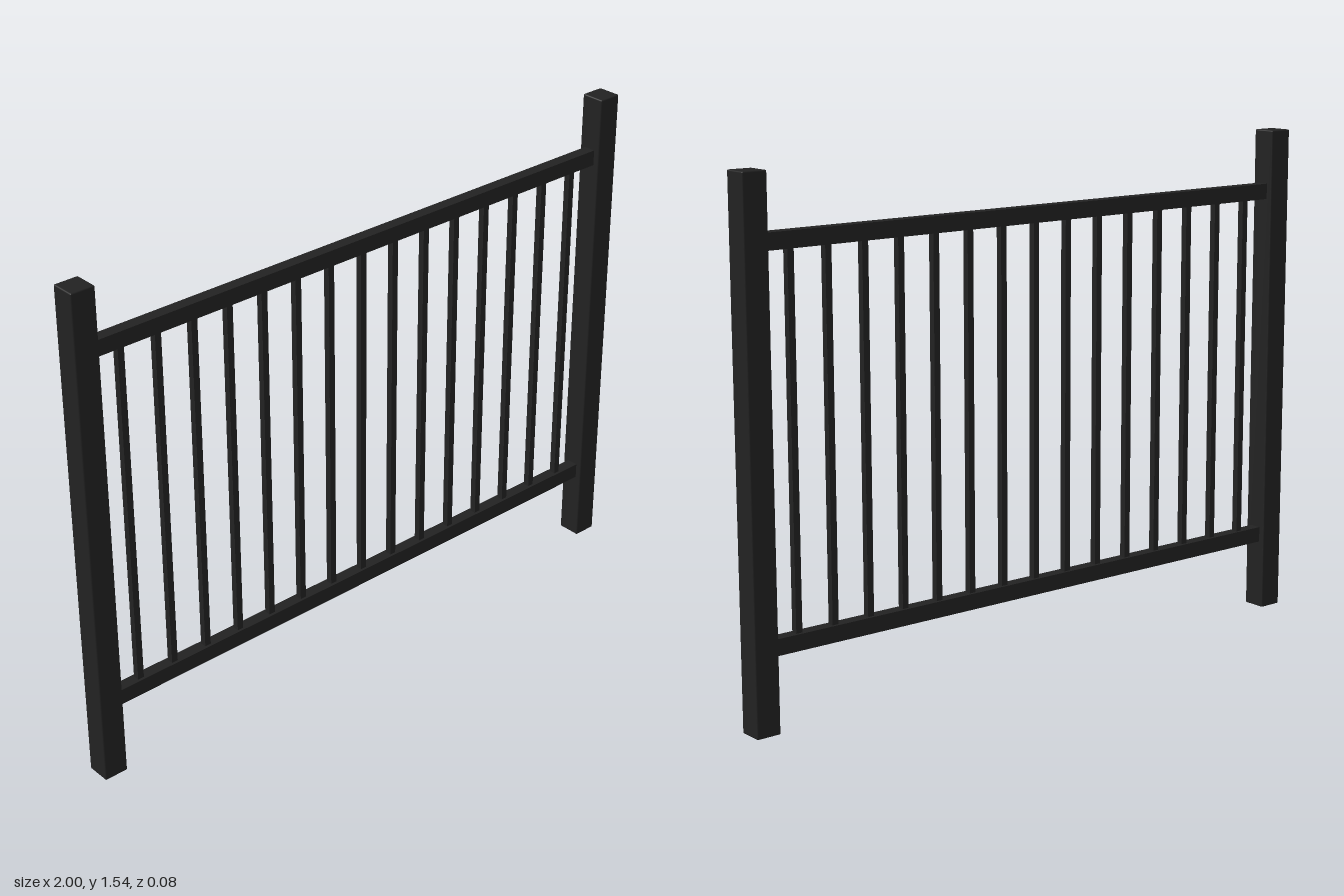
import * as THREE from 'three';
import { RoundedBoxGeometry } from 'three/addons/geometries/RoundedBoxGeometry.js';

export function createModel() {
  const group = new THREE.Group();
  const material = new THREE.MeshStandardMaterial({ color: 0x222222 });

  const add = (name, geometry, x, y) => {
    const mesh = new THREE.Mesh(geometry, material);
    mesh.name = name;
    mesh.position.set(x, y, 0);
    group.add(mesh);
  };

  const postWidth = 0.075, postHeight = 1.54;
  const railHeight = 0.048, bottomRailY = 0.241, topRailY = 1.35;

  // Square end posts with slightly eased edges
  const post = new RoundedBoxGeometry(postWidth, postHeight, postWidth, 2, 0.004);
  add('leftPost', post, 1 - postWidth / 2, postHeight / 2);
  add('rightPost', post, -1 + postWidth / 2, postHeight / 2);

  // Horizontal rails running between the posts
  const rail = new THREE.BoxGeometry(2 - 2 * postWidth, railHeight, 0.037);
  add('topRail', rail, 0, topRailY);
  add('bottomRail', rail, 0, bottomRailY);

  // Evenly spaced square balusters
  const count = 15, spacing = 0.12;
  const baluster = new THREE.BoxGeometry(0.02, topRailY - bottomRailY - railHeight, 0.02);
  for (let i = 0; i < count; i++) {
    add(`baluster${i + 1}`, baluster, (i - (count - 1) / 2) * spacing, (topRailY + bottomRailY) / 2);
  }

  return group;
}
